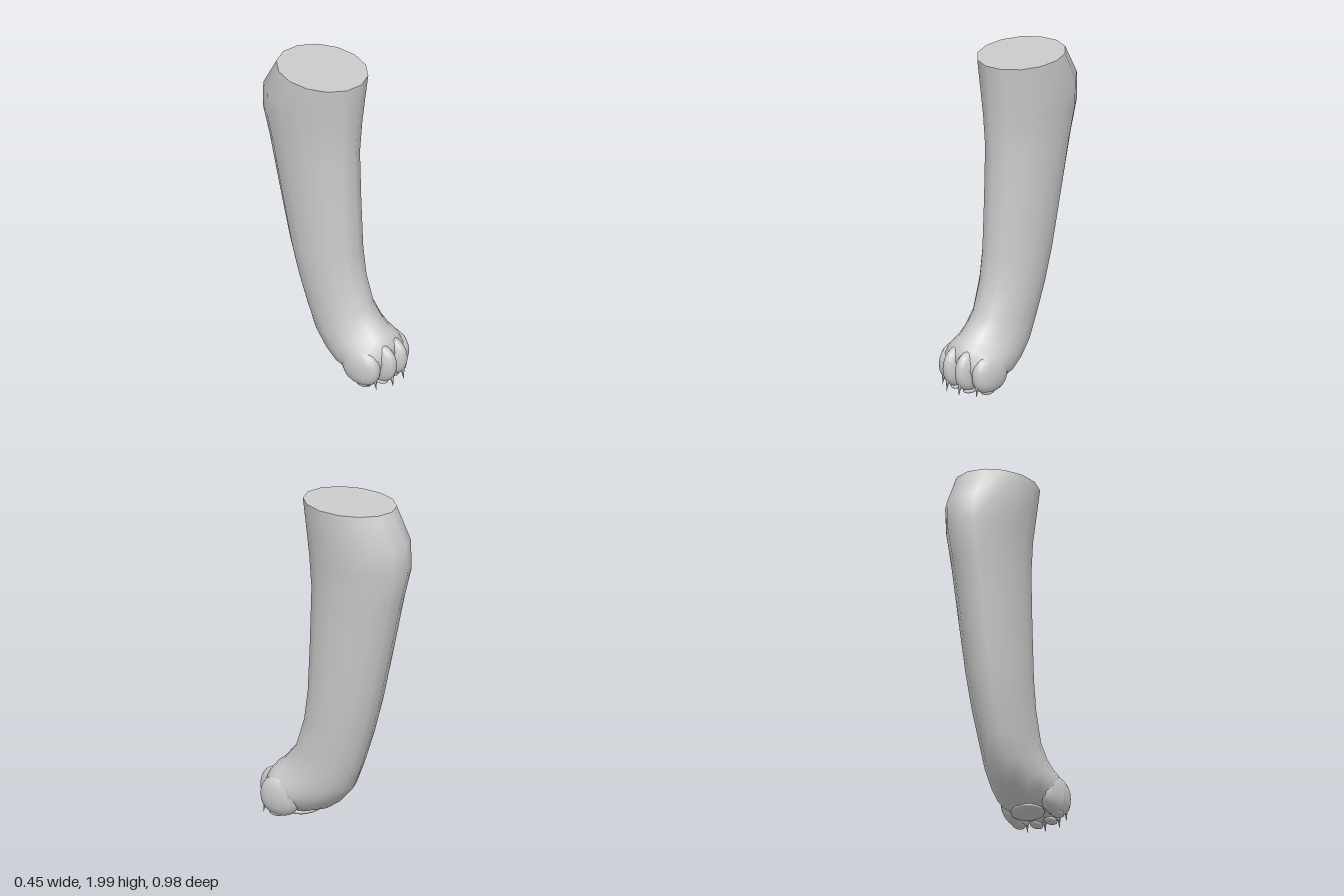
import * as THREE from 'three';

const SIDES = 14;
const material = new THREE.MeshStandardMaterial({ color: 0xcccccc });

// Each ring: front z, front y, back z, back y, half width
const RINGS = [
  [0.20, 2.0, -0.38, 1.99, 0.23],
  [0.18, 1.82, -0.48, 1.80, 0.23],
  [0.165, 1.65, -0.49, 1.63, 0.21],
  [0.15, 1.45, -0.44, 1.44, 0.198],
  [0.16, 1.12, -0.37, 1.12, 0.188],
  [0.175, 0.80, -0.295, 0.79, 0.178],
  [0.20, 0.62, -0.235, 0.57, 0.17],
  [0.26, 0.44, -0.17, 0.37, 0.16],
  [0.32, 0.37, -0.11, 0.22, 0.165],
  [0.35, 0.335, -0.02, 0.12, 0.178],
  [0.375, 0.315, 0.07, 0.06, 0.19],
  [0.40, 0.295, 0.18, 0.03, 0.192],
  [0.43, 0.25, 0.29, 0.022, 0.175],
  [0.44, 0.20, 0.38, 0.03, 0.12],
];

function ringPoints([fz, fy, bz, by, w]) {
  return Array.from({ length: SIDES }, (_, i) => {
    const a = (i / SIDES) * Math.PI * 2;
    const t = (1 + Math.cos(a)) / 2;
    return [w * Math.sin(a), by + (fy - by) * t, bz + (fz - bz) * t];
  });
}

function buildGeometry(points, index) {
  const g = new THREE.BufferGeometry();
  g.setAttribute('position', new THREE.Float32BufferAttribute(points.flat(), 3));
  g.setIndex(index);
  g.computeVertexNormals();
  return g;
}

// Skin running from the cut top, down the shank and forward into the foot
function legGeometry() {
  const points = RINGS.flatMap(ringPoints);
  const index = [];
  for (let j = 0; j < RINGS.length - 1; j++) {
    for (let i = 0; i < SIDES; i++) {
      const a = j * SIDES + i, b = j * SIDES + ((i + 1) % SIDES);
      index.push(a, a + SIDES, b, b, a + SIDES, b + SIDES);
    }
  }
  const last = (RINGS.length - 1) * SIDES;
  for (let i = 1; i < SIDES - 1; i++) index.push(last, last + i + 1, last + i);
  return buildGeometry(points, index);
}

// Flat cap over the cut top
function capGeometry() {
  const index = [];
  for (let i = 1; i < SIDES - 1; i++) index.push(0, i, i + 1);
  return buildGeometry(ringPoints(RINGS[0]), index);
}

// Slightly squared ellipsoid
function blob(rx, ry, rz, power) {
  const g = new THREE.SphereGeometry(1, 16, 12);
  const p = g.attributes.position;
  const round = (v) => Math.sign(v) * Math.abs(v) ** power;
  for (let i = 0; i < p.count; i++) {
    p.setXYZ(i, rx * round(p.getX(i)), ry * round(p.getY(i)), rz * round(p.getZ(i)));
  }
  g.computeVertexNormals();
  return g;
}

export function createModel() {
  const group = new THREE.Group();
  const add = (name, geometry, x = 0, y = 0, z = 0, tilt = 0) => {
    const mesh = new THREE.Mesh(geometry, material);
    mesh.name = name;
    mesh.position.set(x, y, z);
    mesh.rotation.x = tilt;
    group.add(mesh);
  };

  add('leg', legGeometry());
  add('topCap', capGeometry());

  // Toes, claws and toe pads, mirrored left and right
  for (const [side, s] of [['left', 1], ['right', -1]]) {
    add(side + 'InnerToe', blob(0.054, 0.125, 0.125, 0.88), s * 0.05, 0.15, 0.365);
    add(side + 'OuterToe', blob(0.064, 0.12, 0.13, 0.9), s * 0.135, 0.135, 0.303);
    for (const [toe, x, z] of [['Inner', 0.05, 0.465], ['Outer', 0.138, 0.41]]) {
      const claw = new THREE.ConeGeometry(0.018, 0.11, 8);
      claw.rotateX(Math.PI);
      add(side + toe + 'Claw', claw, s * x, 0.065, z, -0.12);
      add(side + toe + 'ToePad', blob(0.034, 0.02, 0.05, 1), s * x, 0.028, z - 0.085);
    }
  }

  // Main pad under the foot
  add('mainPad', blob(0.105, 0.025, 0.09, 1), 0, 0.033, 0.22, 0.1);

  return group;
}
